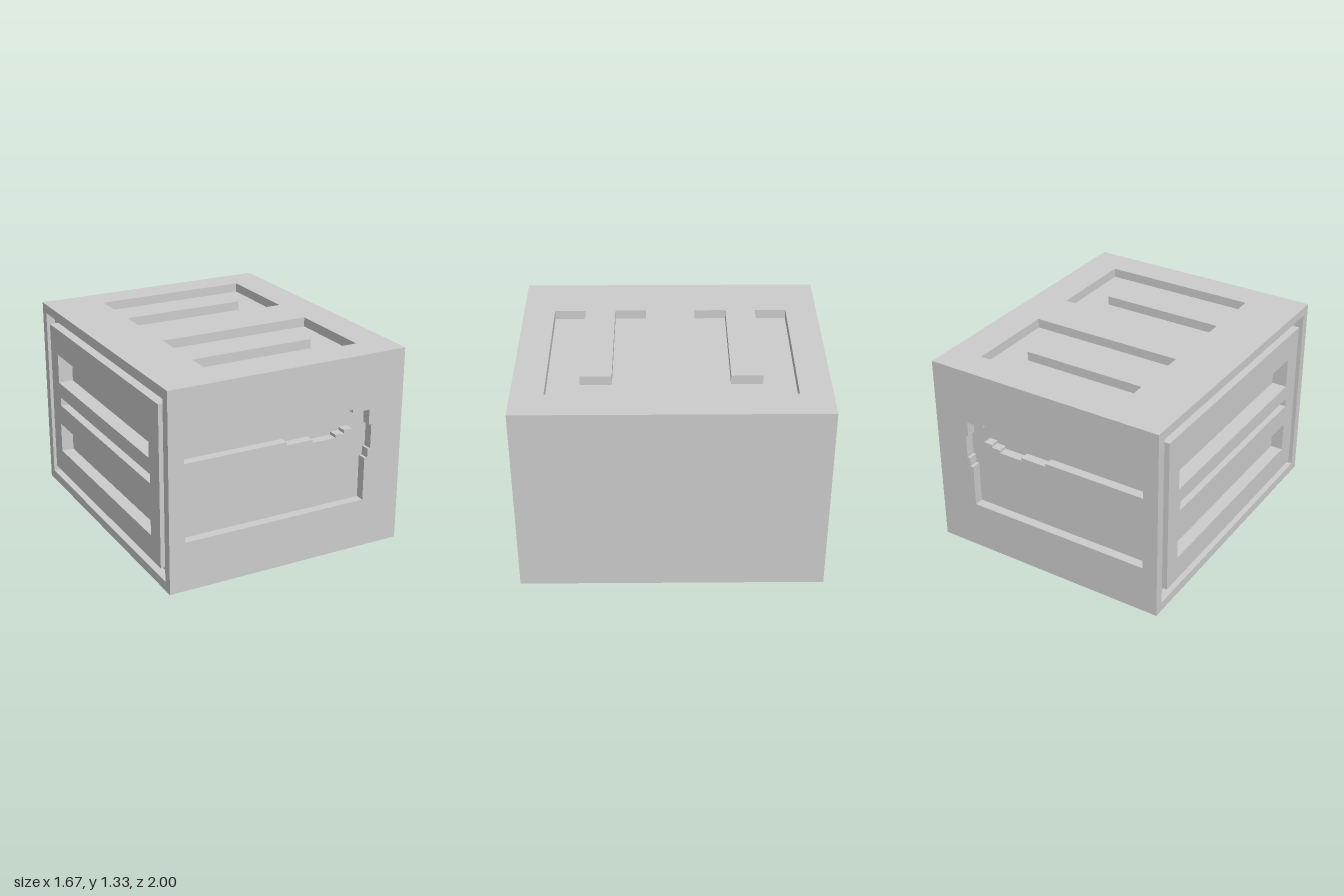
import * as THREE from 'three';

const W = 1.667, H = 1.333, D = 2;   // overall size
const T = 0.0625;                    // depth of the carved channels
const X = W / 2, Z = D / 2;
const material = new THREE.MeshStandardMaterial({ color: 0xcccccc, flatShading: true });

const rect = (x0, y0, x1, y1) => [[x0, y0], [x1, y0], [x1, y1], [x0, y1]];
const toPoints = pts => pts.map(([x, y]) => new THREE.Vector2(x, y));

// Flat slab with cut-out outlines
function slab(outline, holes, depth) {
  const shape = new THREE.Shape(toPoints(outline));
  holes.forEach(h => shape.holes.push(new THREE.Path(toPoints(h))));
  return new THREE.ExtrudeGeometry(shape, { depth, bevelEnabled: false });
}

export function createModel() {
  const group = new THREE.Group();
  function add(name, geometry, x = 0, y = 0, z = 0) {
    const mesh = new THREE.Mesh(geometry, material);
    mesh.name = name;
    mesh.position.set(x, y, z);
    group.add(mesh);
  }

  // Solid core: its surfaces are the floors of the channels
  const coreDepth = 0.104, coreW = W - coreDepth, coreH = H - T;
  add('core', new THREE.BoxGeometry(coreW, coreH, D - 2 * T), coreDepth / 2, coreH / 2, 0);

  // Front and back plates with the stepped U-shaped channel
  const steppedU = [
    [-0.729, 0.958], [-0.021, 0.958], [-0.021, 0.979], [0.457, 0.979], [0.457, 0.958],
    [0.583, 0.958], [0.583, 0.855], [0.602, 0.855], [0.602, 0.688], [0.583, 0.688],
    [0.583, 0.626], [0.561, 0.626], [0.561, 0.333], [-0.729, 0.333], [-0.729, 0.438],
    [0.432, 0.438], [0.432, 0.459], [0.455, 0.459], [0.455, 0.854], [0.395, 0.854],
    [0.395, 0.833], [0.333, 0.833], [0.333, 0.813], [0.165, 0.813], [0.165, 0.833],
    [-0.021, 0.833], [-0.021, 0.854], [-0.729, 0.854],
  ];
  const wall = slab(rect(-X, 0, X, coreH), [steppedU], T);
  add('frontPlate', wall, 0, 0, Z - T);
  add('backPlate', wall, 0, 0, -Z);

  // Top plate with two U-shaped channels
  const topU = s => [
    [-0.46, s * 0.165], [0.604, s * 0.165], [0.604, s * 0.79], [-0.46, s * 0.79],
    [-0.46, s * 0.58], [0.394, s * 0.58], [0.394, s * 0.377], [-0.46, s * 0.377],
  ];
  const top = slab(rect(-X, -Z, X, Z), [topU(1), topU(-1)], T);
  top.rotateX(Math.PI / 2);
  add('topPlate', top, 0, H, 0);

  // Right side: raised panel in a ring groove, with three slots of differing depth
  const upper = rect(-0.75, 0.812, 0.73, 1.02);
  const middle = rect(-0.73, 0.646, 0.745, 0.708);
  const lower = rect(-0.75, 0.292, 0.74, 0.5);
  const full = rect(-Z + T, 0, Z - T, coreH);
  const panel = rect(-Z + 2 * T, 2 * T, Z - 2 * T, H - 2 * T);
  const layers = [
    ['sidePanel', panel, [upper, middle, lower], 0, T],
    ['sideRim', rect(-Z + T, 0, Z - T, T), [], 0, T],
    ['sideBacking', full, [upper, lower], T, 0.085],
    ['sideInnerBacking', full, [upper], 0.085, coreDepth],
  ];
  for (const [name, outline, holes, from, to] of layers) {
    const geometry = slab(outline, holes, to - from);
    geometry.rotateY(-Math.PI / 2);
    add(name, geometry, -X + to, 0, 0);
  }
  return group;
}
